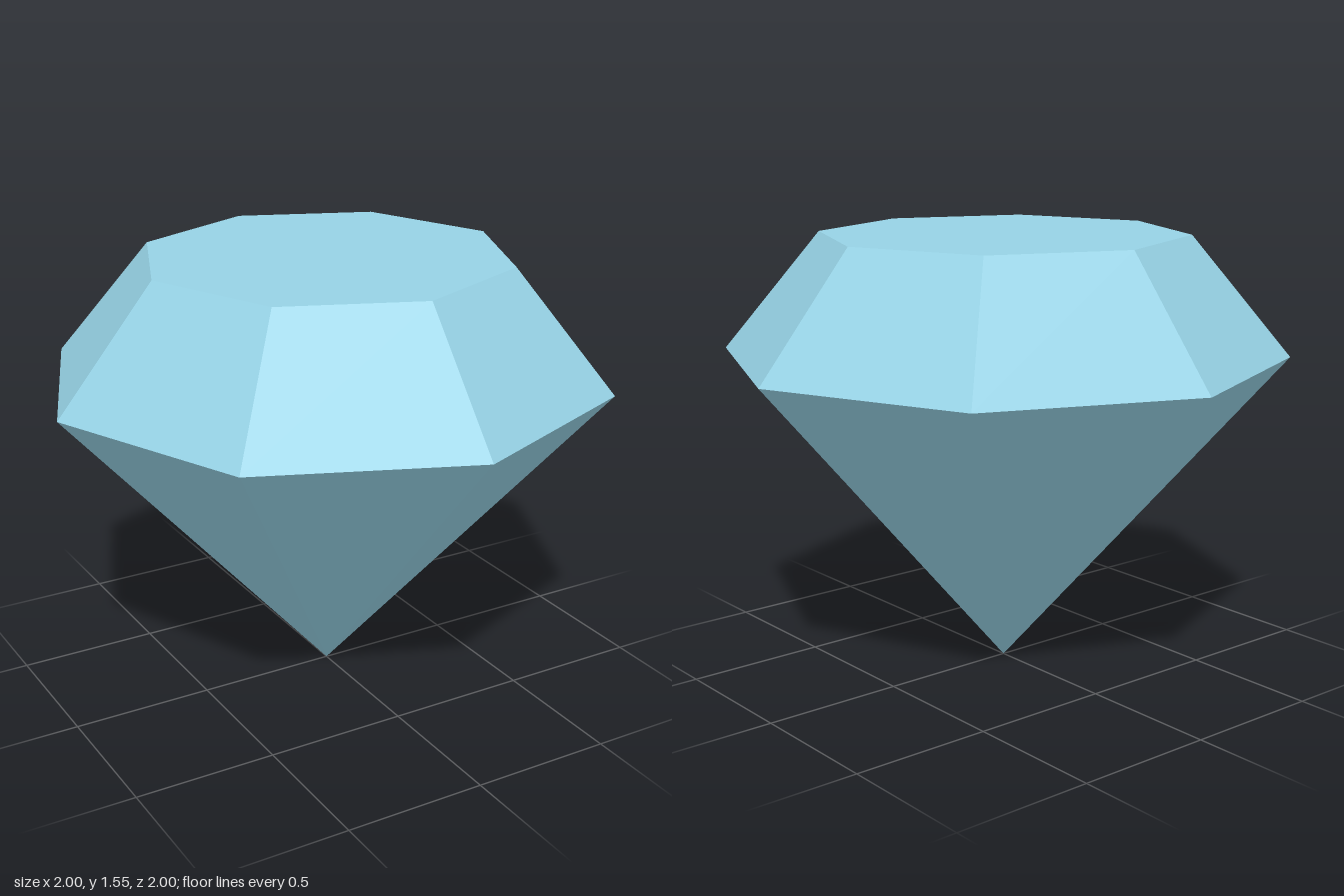
import * as THREE from 'three';

export function createModel() {
  const model = new THREE.Group();
  model.name = 'gem';

  const SIDES = 8;
  const GIRDLE_Y = 1.13;
  const TOP_Y = 1.55;
  const TABLE_RADIUS = 0.65;

  const iceBlue = new THREE.MeshStandardMaterial({ color: 0x96d2e5 });
  iceBlue.name = 'iceBlue';

  // Splits shared corners so every facet is shaded flat
  function addFacets(name, geometry, y) {
    const flat = geometry.toNonIndexed();
    flat.computeVertexNormals();
    const mesh = new THREE.Mesh(flat, iceBlue);
    mesh.name = name;
    mesh.position.y = y;
    model.add(mesh);
  }

  // Crown: sloping facets from the girdle up to the table
  addFacets('crown',
    new THREE.CylinderGeometry(TABLE_RADIUS, 1, TOP_Y - GIRDLE_Y, SIDES, 1, true),
    (GIRDLE_Y + TOP_Y) / 2);

  // Table: flat octagon on top, with a corner facing the front
  const table = new THREE.CircleGeometry(TABLE_RADIUS, SIDES);
  table.rotateX(-Math.PI / 2);
  addFacets('table', table, TOP_Y);

  // Pavilion: facets narrowing to the point at the bottom
  addFacets('pavilion',
    new THREE.CylinderGeometry(1, 0, GIRDLE_Y, SIDES, 1, true),
    GIRDLE_Y / 2);

  return model;
}
